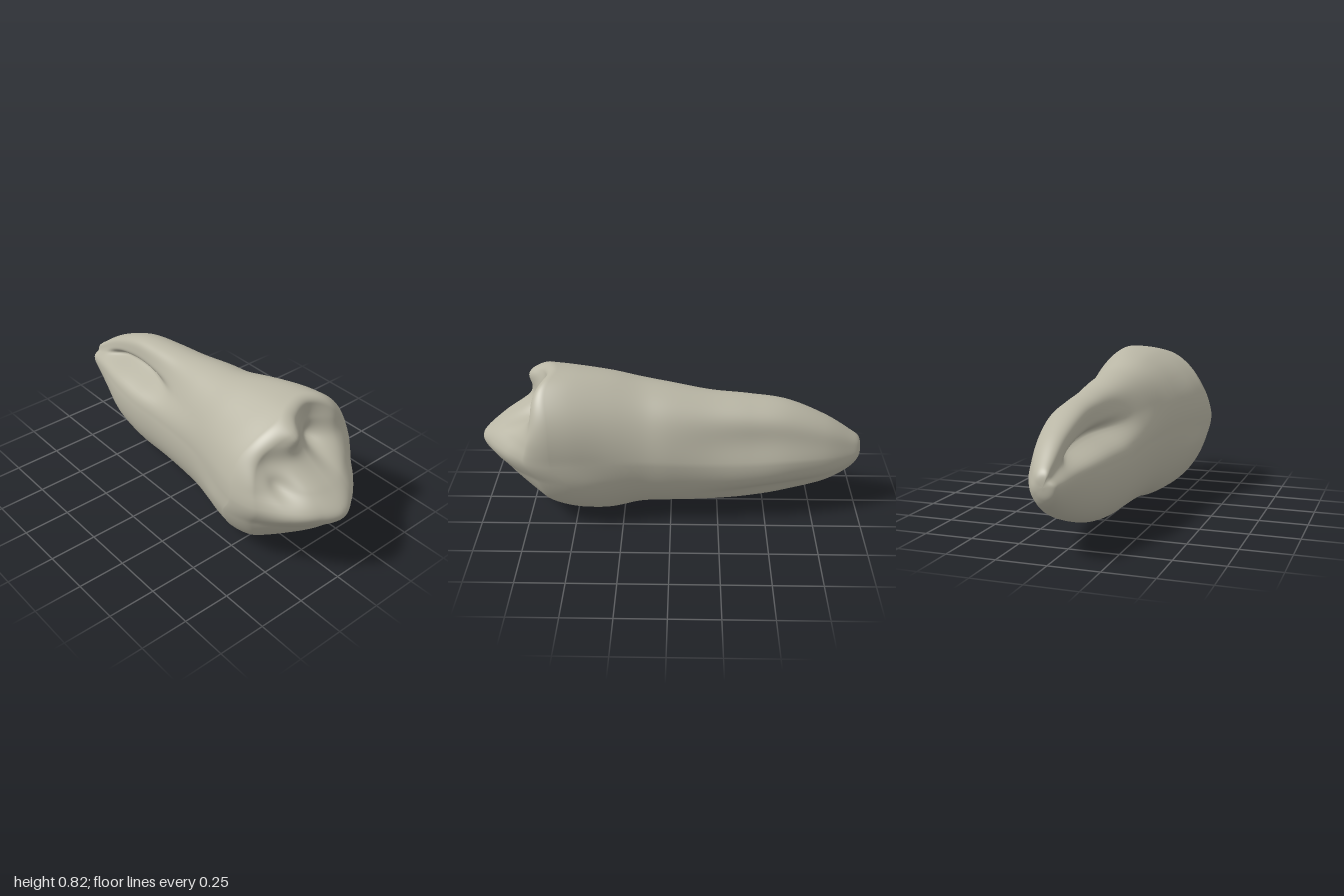
import * as THREE from 'three';
import { mergeVertices } from 'three/addons/utils/BufferGeometryUtils.js';

const SEG = 144, BODY = 90, CAP = 48;
const RIM_X = 0.56, ROUND_S = 0.1; // usual rim position, width of the rounded crown edge

// Body stations along x: x, bottom y, top y, back z, front z
const stations = [
  [-1, 0.345, 0.355, -0.02, -0.01],
  [-0.99, 0.29, 0.41, -0.065, 0.04],
  [-0.94, 0.235, 0.455, -0.105, 0.06],
  [-0.8, 0.155, 0.55, -0.175, 0.1],
  [-0.6, 0.085, 0.635, -0.235, 0.155],
  [-0.4, 0.05, 0.665, -0.265, 0.18],
  [-0.2, 0.04, 0.685, -0.28, 0.185],
  [0, 0.035, 0.72, -0.295, 0.205],
  [0.15, 0.025, 0.745, -0.298, 0.225],
  [0.3, 0.008, 0.782, -0.315, 0.268],
  [0.45, 0, 0.806, -0.34, 0.318],
  [RIM_X, 0, 0.814, -0.35, 0.345],
];

// Chewing surface: x height over a grid of y rows and z columns
const rowsY = [0, 0.15, 0.3, 0.4, 0.5, 0.6, 0.7, 0.82];
const colsZ = [-0.35, -0.22, -0.1, 0, 0.1, 0.22, 0.35];
const heights = [
  [0.45, 0.47, 0.49, 0.5, 0.49, 0.47, 0.45],
  [0.53, 0.65, 0.72, 0.75, 0.72, 0.64, 0.53],
  [0.63, 0.78, 0.88, 0.92, 0.88, 0.78, 0.62],
  [0.71, 0.85, 0.95, 1.0, 0.96, 0.87, 0.69],
  [0.71, 0.79, 0.87, 0.9, 0.88, 0.77, 0.67],
  [0.69, 0.71, 0.66, 0.73, 0.75, 0.68, 0.65],
  [0.67, 0.69, 0.63, 0.68, 0.72, 0.67, 0.65],
  [0.65, 0.67, 0.63, 0.64, 0.66, 0.65, 0.64],
];

const { clamp, smoothstep } = THREE.MathUtils;
const gauss = (d, w) => Math.exp(-(d * d) / (2 * w * w));

// Catmull-Rom value at fractional index u
function spline(a, u) {
  const n = a.length - 1, i = Math.min(Math.floor(u), n - 1), t = u - i;
  const p = k => a[clamp(k, 0, n)];
  const m0 = (p(i + 1) - p(i - 1)) / 2, m1 = (p(i + 2) - p(i)) / 2;
  const t2 = t * t, t3 = t2 * t;
  return (2 * t3 - 3 * t2 + 1) * p(i) + (t3 - 2 * t2 + t) * m0
    + (3 * t2 - 2 * t3) * p(i + 1) + (t3 - t2) * m1;
}

// Fractional index of v in a rising list
function indexOf(list, v) {
  const c = clamp(v, list[0], list[list.length - 1]);
  let i = 0;
  while (i < list.length - 2 && c > list[i + 1]) i++;
  return i + (c - list[i]) / (list[i + 1] - list[i]);
}

// Crown height; s runs from 0 in the middle to 1 at the outline
function crownX(y, z, s) {
  const uz = indexOf(colsZ, z), uy = indexOf(rowsY, y);
  let x = spline(heights.map(row => spline(row, uz)), uy);
  x += 0.04 * gauss(Math.hypot(y - 0.73, z - 0.07), 0.035);  // small cusp
  x -= 0.04 * gauss(Math.hypot(y - 0.51, z - 0.19), 0.03);   // front pit
  x -= 0.03 * gauss(Math.hypot((y - 0.59) * 0.8, z + 0.09), 0.03); // back pit
  const e = Math.max(0, (s - 1 + ROUND_S) / ROUND_S);
  const round = 0.11 - 0.06 * smoothstep(y, 0.4, 0.8);
  return Math.min(x, 1) - round * (1 - Math.sqrt(Math.max(0, 1 - e * e)));
}

// Point on the side wall at station u and angle a (0 = front, 90 degrees = top)
function wallPoint(u, a) {
  const [x, y0, y1, z0, z1] = [0, 1, 2, 3, 4].map(k => spline(stations.map(s => s[k]), u));
  const c = Math.cos(a), s = Math.sin(a);
  const crown = smoothstep(x, 0.1, RIM_X), root = smoothstep(x, -0.95, -0.6) * (1 - crown);
  const mid = y0 + (y1 - y0) * 0.52;
  let y = s > 0 ? mid + (y1 - mid) * Math.pow(s, 1 - 0.12 * crown) : mid + (mid - y0) * s;
  y += 0.014 * crown * gauss(a - 1.95, 0.22); // high back cusp
  const half = (z1 - z0) / 2;
  // The top leans back at the crown, the underside leans forward at the root
  let z = (z0 + z1) / 2 + half * c - 0.05 * Math.max(0, s) * crown + 0.04 * Math.max(0, -s) * root;

  // Wide hollow in front with a narrow cleft along it
  const cleft = smoothstep(x, -0.9, -0.7) * (1 - smoothstep(x, -0.5, -0.1));
  z -= gauss(a - 0.55, a < 0.55 ? 0.2 : 0.38) * Math.min(half * 0.5, 0.085 * gauss(x + 0.5, 0.3));
  z -= gauss(a - 0.45, 0.1) * Math.min(half * 0.5, 0.075 * cleft);
  // Soft hollow behind and a groove under it
  z += gauss(a - (Math.PI - 0.35), 0.28) * 0.04 * gauss(x + 0.42, 0.26);
  const d = a - (Math.PI + 0.72);
  z += gauss(d, d < 0 ? 0.14 : 0.3) * 0.05 * gauss(x + 0.5, 0.18);
  return new THREE.Vector3(x, y, z);
}

function toothGeometry() {
  const last = stations.length - 1, positions = [], index = [];
  const angles = Array.from({ length: SEG }, (_, j) => {
    const a = (j / SEG) * Math.PI * 2;
    return a > Math.PI * 1.5 ? a - Math.PI * 2 : a;
  });
  const rim = angles.map(a => {
    const p = wallPoint(last, a);
    p.x = crownX(p.y, p.z, 1);
    return p;
  });

  // Root tip: the first ring sits on one point
  angles.forEach(() => positions.push(-1, 0.35, -0.015));
  // Root and side wall, stretched at the crown end to meet the rim
  for (let i = 1; i <= BODY; i++) {
    angles.forEach((a, j) => {
      const p = wallPoint((i / BODY) * last, a);
      positions.push(p.x + (rim[j].x - RIM_X) * smoothstep(p.x, 0.1, RIM_X), p.y, p.z);
    });
  }
  // Crown, closing towards the middle over the cusps
  for (let i = 1; i <= CAP; i++) {
    const s = 1 - Math.pow(i / CAP, 1.7);
    rim.forEach(r => {
      const y = 0.43 + (r.y - 0.43) * s, z = r.z * s;
      positions.push(crownX(y, z, s), y, z);
    });
  }

  const rings = BODY + CAP;
  for (let i = 0; i < rings; i++) {
    for (let j = 0; j < SEG; j++) {
      const a = i * SEG + j, b = i * SEG + (j + 1) % SEG, c = a + SEG, d = b + SEG;
      if (i < rings - 1) index.push(a, c, d);
      if (i > 0) index.push(a, i < rings - 1 ? d : c, b);
    }
  }
  const g = new THREE.BufferGeometry();
  g.setAttribute('position', new THREE.Float32BufferAttribute(positions, 3));
  g.setIndex(index);
  const welded = mergeVertices(g, 1e-5);
  welded.computeVertexNormals();
  return welded;
}

export function createModel() {
  const group = new THREE.Group();
  group.name = 'tooth';
  const ivory = new THREE.MeshStandardMaterial({ color: 0xb9b6a5 });
  ivory.name = 'greyIvory';
  const tooth = new THREE.Mesh(toothGeometry(), ivory);
  tooth.name = 'rootAndCrown';
  group.add(tooth);
  return group;
}
